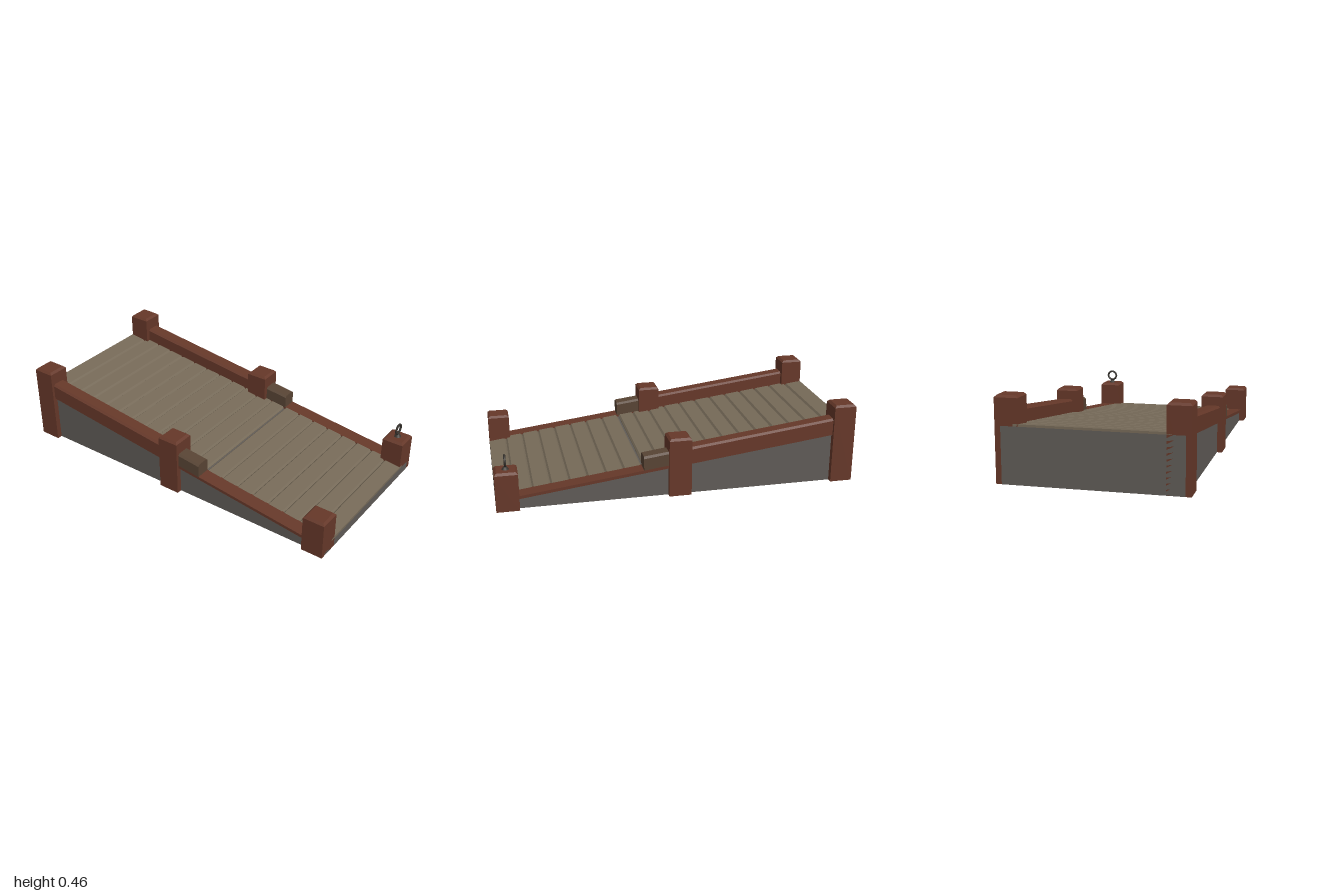
import * as THREE from 'three';

const SLOPE = 0.125;
const mat = (name, color, side = THREE.FrontSide) => {
  const m = new THREE.MeshStandardMaterial({ color, side });
  m.name = name;
  return m;
};

export function createModel() {
  const group = new THREE.Group();
  const redWood = mat('redWood', 0x663829);
  const plankWood = mat('plankWood', 0x766a58);
  const darkWood = mat('darkWood', 0x584434);
  const stone = mat('stone', 0x605b57);
  const iron = mat('iron', 0x38342f);

  const add = (name, geometry, material, x = 0, y = 0, z = 0) => {
    const mesh = new THREE.Mesh(geometry, material);
    mesh.name = name;
    mesh.position.set(x, y, z);
    group.add(mesh);
    return mesh;
  };

  // Side profile given as [z, y] points, extruded along x and centred on it
  const sideExtrude = (points, width) => {
    const shape = new THREE.Shape(points.map(([z, y]) => new THREE.Vector2(-z, y)));
    const geo = new THREE.ExtrudeGeometry(shape, { depth: width, bevelEnabled: false });
    geo.translate(0, 0, -width / 2);
    return geo.rotateY(Math.PI / 2);
  };

  // Cross-section given as [x, y] points, extruded along z and sheared to the slope
  const rail = (points, zBack, zFront) => {
    const shape = new THREE.Shape(points.map(([x, y]) => new THREE.Vector2(x, y)));
    const geo = new THREE.ExtrudeGeometry(shape, { depth: zFront - zBack, bevelEnabled: false });
    geo.translate(0, 0, zBack);
    const p = geo.attributes.position;
    for (let i = 0; i < p.count; i++) p.setY(i, p.getY(i) - SLOPE * p.getZ(i));
    geo.computeVertexNormals();
    return geo;
  };

  // Solid wedge under the deck
  add('base', sideExtrude([[1, 0], [1, 0.05], [-1, 0.3], [-1, 0]], 0.94), stone);

  // Twenty chamfered planks, with a wider joint where the high rails begin
  const top = 0.1875, low = 0.174, c = 0.009;
  for (let i = 0; i < 20; i++) {
    const z1 = 1 - i * 0.1 - (i === 8 ? 0.01 : 0);
    const z0 = 0.9 - i * 0.1;
    const at = (z, y) => [z, y - SLOPE * z];
    const front = i === 0 ? [at(z1, top)] : [at(z1, top - c), at(z1 - c, top)];
    const back = i === 19 ? [at(z0, top)] : [at(z0 + c, top), at(z0, top - c)];
    add('plank', sideExtrude([at(z1, low), ...front, ...back, at(z0, low)], 0.806), plankWood);
  }

  // Post with a chamfered top
  const post = (h) => {
    const w = 0.0625, b = 0.012;
    const shape = new THREE.Shape([[-w, -w], [w, -w], [w, w], [-w, w]].map(([x, y]) => new THREE.Vector2(x, y)));
    const body = new THREE.ExtrudeGeometry(shape, { depth: h - b, bevelEnabled: false }).rotateX(-Math.PI / 2);
    const cap = new THREE.CylinderGeometry((w - b) * Math.SQRT2, w * Math.SQRT2, b, 4).toNonIndexed();
    cap.rotateY(Math.PI / 4).translate(0, h - b / 2, 0);
    cap.computeVertexNormals();
    return [body, cap];
  };

  const w = 0.0425, b = 0.011, h = 0.265;
  const highSection = (y) => [[-w, y], [w, y], [w, h - b], [w - b, h], [-w + b, h], [-w, h - b]];
  const lowSection = [[-w, 0.17], [w, 0.17], [w, 0.187], [-w, 0.187]];

  for (const side of [-1, 1]) {
    // Corner and middle posts
    for (const [z, height] of [[0.9375, 0.22], [0, 0.335], [-0.9375, 0.455]]) {
      const [body, cap] = post(height);
      add('post', body, redWood, side * 0.4375, 0, z);
      add('postCap', cap, redWood, side * 0.4375, 0, z);
    }
    // Low front rail, high rear rail and its dark end block
    add('lowRail', rail(lowSection, 0, 0.94), redWood, side * 0.4425);
    add('highRail', rail(highSection(0.17), -0.94, 0), redWood, side * 0.4425);
    add('railEnd', rail(highSection(0.186), 0, 0.2), darkWood, side * 0.4425);
  }

  // Iron mooring ring on the front left post
  add('ringStem', new THREE.CylinderGeometry(0.009, 0.022, 0.018, 8), iron, 0.4375, 0.227, 0.9375);
  add('ring', new THREE.TorusGeometry(0.029, 0.0065, 6, 10), iron, 0.4375, 0.268, 0.9375);

  return group;
}
